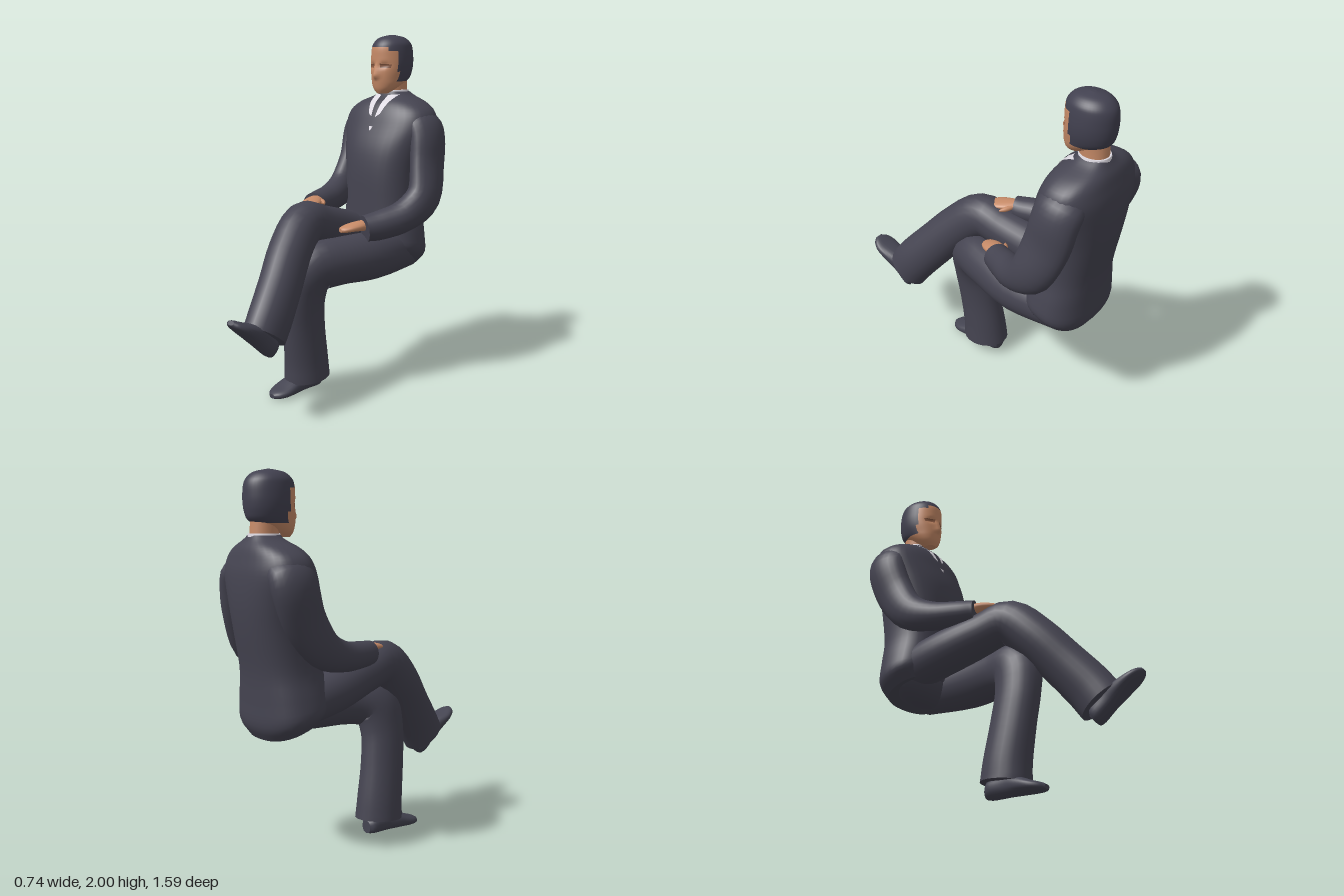
import * as THREE from 'three';

const mat = (name, color, side = THREE.FrontSide) => {
  const m = new THREE.MeshStandardMaterial({ color, side });
  m.name = name;
  return m;
};

// Skin a smooth tube through cross-sections [x, y, z, halfWidth, halfDepth].
// axis fixes the ring direction; power < 1 squares the rings;
// paint(y, sin) picks the material index of each face.
function loft(sections, { axis, power = 1, sides = 24, steps = 4, paint = () => 0 } = {}) {
  const centre = new THREE.CatmullRomCurve3(sections.map(s => new THREE.Vector3(s[0], s[1], s[2])), false, 'catmullrom');
  const size = new THREE.CatmullRomCurve3(sections.map(s => new THREE.Vector3(s[3], s[4], 0)), false, 'catmullrom');
  const rows = (sections.length - 1) * steps;
  const pos = [], faces = [[], []];
  const round = v => Math.sign(v) * Math.abs(v) ** power;
  for (let i = 0; i <= rows; i++) {
    const c = centre.getPoint(i / rows), r = size.getPoint(i / rows);
    const t = axis ? axis.clone() : centre.getTangent(i / rows);
    const s = new THREE.Vector3(1, 0, 0).addScaledVector(t, -t.x).normalize();
    const n = t.clone().cross(s);
    for (let j = 0; j < sides; j++) {
      const a = j / sides * Math.PI * 2;
      const p = c.clone().addScaledVector(s, r.x * round(Math.cos(a))).addScaledVector(n, r.y * round(Math.sin(a)));
      pos.push(p.x, p.y, p.z);
    }
  }
  for (let i = 0; i < rows; i++) {
    const y = centre.getPoint((i + 0.5) / rows).y;
    for (let j = 0; j < sides; j++) {
      const k = (j + 1) % sides, a = i * sides + j, b = i * sides + k;
      const f = faces[paint(y, Math.sin((j + 0.5) / sides * Math.PI * 2))];
      f.push(a, b, b + sides, a, b + sides, a + sides);
    }
  }
  // End caps with their own vertices, so the rims stay crisp
  for (const [row, flip] of [[0, true], [rows, false]]) {
    const base = pos.length / 3, c = centre.getPoint(row / rows);
    pos.push(...pos.slice(row * sides * 3, (row + 1) * sides * 3), c.x, c.y, c.z);
    const f = faces[paint(c.y, 0)];
    for (let j = 0; j < sides; j++) {
      const a = base + j, b = base + (j + 1) % sides;
      f.push(base + sides, flip ? b : a, flip ? a : b);
    }
  }
  const g = new THREE.BufferGeometry();
  g.setAttribute('position', new THREE.Float32BufferAttribute(pos, 3));
  g.setIndex([...faces[0], ...faces[1]]);
  g.addGroup(0, faces[0].length, 0);
  g.addGroup(faces[0].length, faces[1].length, 1);
  g.computeVertexNormals();
  return g;
}

// Move every vertex by a rule
function deform(g, rule) {
  const p = g.attributes.position, v = new THREE.Vector3();
  for (let i = 0; i < p.count; i++) {
    rule(v.fromBufferAttribute(p, i));
    p.setXYZ(i, v.x, v.y, v.z);
  }
  g.computeVertexNormals();
  return g;
}

// Thin four-cornered patch laid over the front of a mesh
function patch(target, [a, b, c, d], lift = 0.005) {
  const g = new THREE.PlaneGeometry(1, 1, 6, 8);
  const ray = new THREE.Raycaster();
  let last = -0.5;
  return deform(g, v => {
    const u = v.x + 0.5, w = v.y + 0.5;
    const mix = k => (a[k] * (1 - u) + b[k] * u) * (1 - w) + (d[k] * (1 - u) + c[k] * u) * w;
    v.set(mix(0), mix(1), 2);
    ray.set(v.clone(), new THREE.Vector3(0, 0, -1));
    const hit = ray.intersectObject(target)[0];
    if (hit) last = hit.point.z;
    v.z = last + lift;
  });
}

export function createModel() {
  const model = new THREE.Group();
  const suit = mat('suit', 0x454451), shoe = mat('shoe leather', 0x444451), hair = mat('hair', 0x424150);
  const skin = mat('skin', 0xc68a67), shirt = mat('shirt', 0xdcd8e0, THREE.DoubleSide);
  const tie = mat('tie', 0x403f4b, THREE.DoubleSide), eye = mat('eye', 0x84563f, THREE.DoubleSide);
  const up = new THREE.Vector3(0, 1, 0);
  const add = (name, geometry, material, parent = model) => {
    const m = new THREE.Mesh(geometry, material);
    m.name = name;
    parent.add(m);
    return m;
  };
  const MID = -0.033;

  // Jacket body, its hem sloping down to the back
  const jacket = add('jacket', deform(loft([
    [MID, 0.69, -0.535, 0.215, 0.15], [MID, 0.76, -0.545, 0.27, 0.18],
    [MID, 0.86, -0.545, 0.26, 0.185], [MID, 1.0, -0.55, 0.232, 0.19],
    [MID, 1.2, -0.567, 0.238, 0.207], [MID, 1.35, -0.585, 0.265, 0.205],
    [MID, 1.48, -0.608, 0.298, 0.18], [MID, 1.56, -0.617, 0.28, 0.155],
    [MID, 1.612, -0.627, 0.215, 0.13], [MID, 1.65, -0.64, 0.12, 0.095],
    [MID, 1.675, -0.64, 0.075, 0.08],
  ], { axis: up, power: 0.82, sides: 36 }), v => {
    if (v.y < 0.9) v.y += (v.z + 0.55) * 0.35 * (0.9 - v.y) / 0.2;
  }), suit);

  // Sleeves, from shoulder to cuff
  add('leftSleeve', loft([
    [0.1, 1.51, -0.63, 0.06, 0.10], [0.19, 1.49, -0.625, 0.085, 0.128],
    [0.232, 1.41, -0.615, 0.085, 0.13], [0.255, 1.27, -0.59, 0.075, 0.13],
    [0.285, 1.09, -0.525, 0.082, 0.118], [0.25, 0.99, -0.4, 0.087, 0.093],
    [0.187, 0.945, -0.27, 0.08, 0.085], [0.143, 0.93, -0.18, 0.073, 0.074],
  ]), suit);
  add('rightSleeve', loft([
    [-0.16, 1.51, -0.63, 0.06, 0.10], [-0.25, 1.49, -0.63, 0.085, 0.125],
    [-0.285, 1.41, -0.62, 0.085, 0.128], [-0.278, 1.25, -0.56, 0.073, 0.12],
    [-0.27, 1.11, -0.45, 0.073, 0.103], [-0.232, 1.055, -0.3, 0.078, 0.082],
    [-0.18, 1.045, -0.15, 0.075, 0.073], [-0.152, 1.045, -0.07, 0.065, 0.067],
  ]), suit);

  // Trousers: seat, planted leg and crossed leg
  add('trouserSeat', new THREE.SphereGeometry(1, 24, 16).scale(0.22, 0.14, 0.15).translate(MID, 0.77, -0.54), suit);
  add('plantedLeg', loft([
    [0.09, 0.755, -0.61, 0.11, 0.12], [0.1, 0.752, -0.3, 0.133, 0.138],
    [0.06, 0.75, -0.06, 0.122, 0.135], [0.01, 0.72, 0.09, 0.117, 0.142],
    [-0.025, 0.58, 0.125, 0.102, 0.132], [-0.047, 0.4, 0.11, 0.102, 0.13],
    [-0.06, 0.2, 0.083, 0.112, 0.135], [-0.063, 0.08, 0.073, 0.118, 0.142],
  ]), suit);
  add('crossedLeg', loft([
    [-0.14, 0.8, -0.58, 0.12, 0.12], [-0.13, 0.865, -0.3, 0.125, 0.125],
    [-0.085, 0.935, -0.05, 0.12, 0.118], [-0.06, 0.965, 0.1, 0.115, 0.125],
    [-0.015, 0.845, 0.245, 0.115, 0.125], [0.045, 0.69, 0.375, 0.11, 0.128],
    [0.09, 0.555, 0.485, 0.107, 0.132], [0.108, 0.462, 0.55, 0.102, 0.132],
  ]), suit);

  // Shoes
  const shoeShape = loft([
    [0, 0.04, -0.172, 0.035, 0.036], [0, 0.05, -0.14, 0.058, 0.05],
    [0, 0.055, -0.05, 0.058, 0.055], [0, 0.046, 0.03, 0.068, 0.046],
    [0, 0.03, 0.11, 0.07, 0.03], [0, 0.022, 0.16, 0.05, 0.021],
    [0, 0.018, 0.185, 0.02, 0.012],
  ], { axis: new THREE.Vector3(0, 0, 1), power: 0.85 });
  const planted = add('plantedShoe', shoeShape, shoe);
  planted.position.set(-0.078, 0.003, 0.145);
  const crossed = add('crossedShoe', shoeShape, shoe);
  crossed.position.set(0.12, 0.455, 0.66);
  crossed.rotation.set(-0.72, 0.05, 0);

  // Hands with thumbs; side is the direction the thumb points in x
  const hand = (name, side, position, turn, thickness) => {
    const g = new THREE.Group();
    g.name = name;
    add('palm', loft([
      [0, 0, -0.07, 0.035, 0.024], [0, 0, -0.02, 0.05, 0.021], [0, -0.004, 0.04, 0.052, 0.017],
      [0, -0.01, 0.085, 0.036, 0.013], [0, -0.012, 0.1, 0.018, 0.008],
    ], { sides: 16 }), skin, g);
    add('thumb', loft([
      [side * 0.025, 0, -0.04, 0.02, 0.014], [side * 0.055, -0.003, -0.012, 0.015, 0.012],
      [side * 0.075, -0.006, 0.018, 0.005, 0.005],
    ], { sides: 12 }), skin, g);
    g.position.set(...position);
    g.rotation.y = turn;
    g.scale.y = thickness;
    model.add(g);
  };
  hand('leftHand', -1, [0.11, 0.944, -0.145], -0.3, 1.35);
  hand('rightHand', 1, [-0.115, 1.074, -0.028], 0.45, 1.1);

  // Neck and shirt collar
  add('neck', loft([
    [MID, 1.6, -0.645, 0.07, 0.075], [MID, 1.7, -0.635, 0.068, 0.078], [MID, 1.79, -0.62, 0.075, 0.085],
  ], { axis: up }), skin);
  add('collar', loft([[MID, 1.64, -0.64, 0.088, 0.09], [MID, 1.684, -0.64, 0.075, 0.083]], { axis: up }), shirt);

  // Head: skin at the front, hair over the crown, sides and back
  const head = add('head', deform(loft([
    [MID, 1.665, -0.525, 0.03, 0.035], [MID, 1.69, -0.543, 0.062, 0.066],
    [MID, 1.72, -0.568, 0.083, 0.098], [MID, 1.75, -0.594, 0.096, 0.128],
    [MID, 1.79, -0.603, 0.107, 0.136], [MID, 1.83, -0.607, 0.112, 0.138],
    [MID, 1.87, -0.608, 0.112, 0.138], [MID, 1.92, -0.607, 0.107, 0.135],
    [MID, 1.955, -0.606, 0.097, 0.12], [MID, 1.985, -0.605, 0.065, 0.083],
    [MID, 2.0, -0.605, 0.012, 0.015],
  ], {
    axis: up, sides: 40,
    paint: (y, s) => (y > 1.93 || (s > -0.8 && y > 1.91) || (s > -0.5 && y > 1.79) || (s > -0.3 && y > 1.735) ? 1 : 0),
  }), v => {
    // Nose ridge and eye sockets
    if (v.z < -0.53) return;
    const d = Math.abs(v.x - MID);
    const ridge = v.y > 1.765 ? 1 - (v.y - 1.765) / 0.08 : 1 - (1.765 - v.y) / 0.025;
    v.z += 0.024 * Math.max(0, ridge) * Math.exp(-((d / 0.017) ** 2));
    v.z -= 0.014 * Math.exp(-(((d - 0.042) / 0.022) ** 2) - ((v.y - 1.825) / 0.016) ** 2);
  }), [skin, hair]);

  // Eyes, shirt front and tie
  for (const s of [-1, 1]) {
    const side = pts => pts.map(([d, y]) => [MID + s * d, y]);
    add(s > 0 ? 'leftEye' : 'rightEye', patch(head, side([[0.024, 1.812], [0.076, 1.812], [0.082, 1.832], [0.02, 1.836]]), 0.002), eye);
    add(s > 0 ? 'leftShirtFront' : 'rightShirtFront', patch(jacket, side([[0.012, 1.53], [0.042, 1.55], [0.085, 1.66], [0.024, 1.655]])), shirt);
  }
  const centred = pts => pts.map(([d, y]) => [MID + d, y]);
  add('tie', patch(jacket, centred([[-0.014, 1.53], [0.014, 1.53], [0.026, 1.66], [-0.026, 1.66]]), 0.008), tie);
  add('shirtGap', patch(jacket, centred([[-0.004, 1.455], [0.004, 1.455], [0.014, 1.478], [-0.014, 1.478]])), shirt);
  return model;
}
